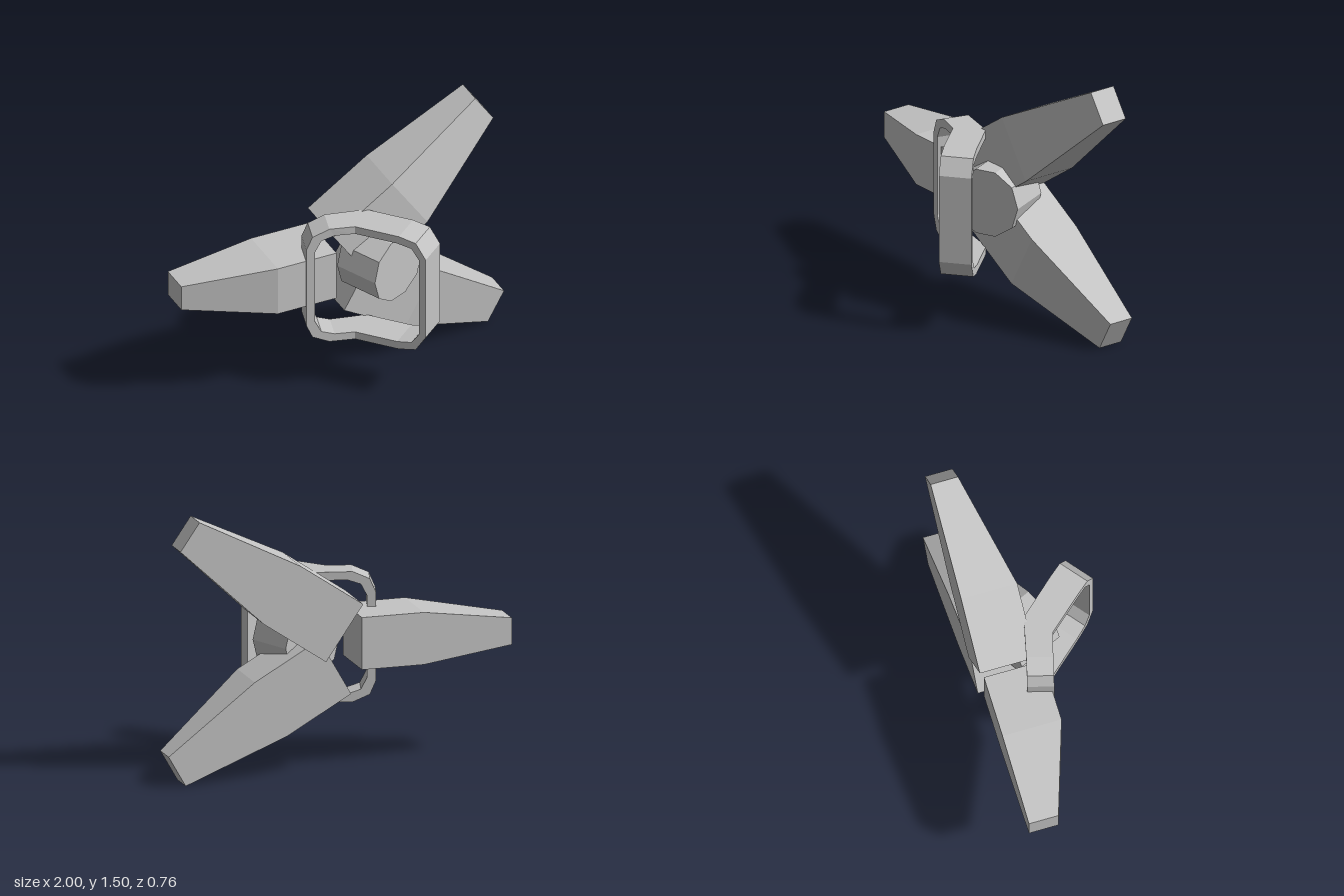
import * as THREE from 'three';

// Joins equal-sized cross-sections (ordered counter-clockwise around the direction of travel)
function loft(sections, closed) {
  const pos = [];
  const tri = (a, b, c) => pos.push(...a, ...b, ...c);
  const n = sections[0].length;
  const count = closed ? sections.length : sections.length - 1;
  for (let s = 0; s < count; s++) {
    const a = sections[s], b = sections[(s + 1) % sections.length];
    for (let i = 0; i < n; i++) {
      const j = (i + 1) % n;
      tri(a[i], a[j], b[j]);
      tri(a[i], b[j], b[i]);
    }
  }
  if (!closed) {
    const first = sections[0], last = sections[sections.length - 1];
    for (let i = 1; i < n - 1; i++) {
      tri(first[0], first[i + 1], first[i]);
      tri(last[0], last[i], last[i + 1]);
    }
  }
  const g = new THREE.BufferGeometry();
  g.setAttribute('position', new THREE.Float32BufferAttribute(pos, 3));
  g.computeVertexNormals();
  return g;
}

// Tapered arm: flat back, front face sloping down to the tip
function armGeometry({ root, mid, tip, width, tipWidth, back, front, tipFront }) {
  const axis = new THREE.Vector2(tip[0] - root[0], tip[1] - root[1]).normalize();
  const section = ([x, y], w, zf) => {
    const nx = -axis.y * w / 2, ny = axis.x * w / 2;
    return [[x - nx, y - ny, back], [x + nx, y + ny, back], [x + nx, y + ny, zf], [x - nx, y - ny, zf]];
  };
  return loft([section(root, width, front), section(mid, width, front), section(tip, tipWidth, tipFront)]);
}

// Ten-sided prism turned towards the front left
function coreGeometry() {
  const half = [[0, 0], [0.09, 0.12], [0.35, 0.19], [0.65, 0.19], [0.91, 0.12], [1, 0]];
  const outline = [
    ...half.map(([p, h]) => [p, -h]),
    ...half.slice(1, -1).reverse(),
  ];
  const face = (dx, dz) => outline.map(([p, h]) => [0.035 + 0.365 * p + dx, 0.712 + h, 0.125 - 0.165 * p + dz]);
  return loft([face(-0.11, -0.25), face(0, 0)]);
}

// Chamfered loop, bent about a vertical line
function frameGeometry() {
  const outer = [[-0.32, 0.25], [-0.285, 0.33], [-0.19, 0.372], [0, 0.372], [0.27, 0.372], [0.37, 0.352], [0.43, 0.257]];
  const inner = [[-0.27, 0.232], [-0.235, 0.30], [-0.16, 0.325], [0, 0.325], [0.26, 0.325], [0.345, 0.31], [0.39, 0.245]];
  const point = (u, h, side) => {
    const t = u < 0 ? -u / 0.32 : u / 0.43;
    const end = u < 0 ? [-0.30, -0.083] : [0.297, 0.317];
    const w = u < 0 ? [-0.02, 0.072] : u > 0 ? [-0.072, 0.058] : [-0.065, 0.065];
    return [
      0.01 + (end[0] - 0.01) * t + w[0] * side,
      0.703 + h,
      -0.005 + (end[1] + 0.005) * t + w[1] * side,
    ];
  };
  const station = (i, sign) => {
    const [ou, oh] = outer[i], [iu, ih] = inner[i];
    return [
      point(ou, sign * oh, -1), point(iu, sign * ih, -1),
      point(iu, sign * ih, 1), point(ou, sign * oh, 1),
    ];
  };
  const bottom = outer.map((_, i) => station(i, -1));
  const top = outer.map((_, i) => station(i, 1)).reverse();
  return loft([...bottom, ...top], true);
}

export function createModel() {
  const model = new THREE.Group();
  model.name = 'model';
  const grey = new THREE.MeshStandardMaterial({ color: 0xc4c4c4 });
  grey.name = 'light grey';
  grey.flatShading = true;

  const add = (name, geometry) => {
    const mesh = new THREE.Mesh(geometry, grey);
    mesh.name = name;
    model.add(mesh);
  };

  // Three arms spreading from the centre
  add('sideArm', armGeometry({
    root: [-0.13, 0.725], mid: [-0.49, 0.725], tip: [-1, 0.725],
    width: 0.298, tipWidth: 0.153, back: -0.36, front: -0.02, tipFront: -0.19,
  }));
  add('upperArm', armGeometry({
    root: [-0.022, 0.8], mid: [0.339, 1.045], tip: [0.876, 1.42],
    width: 0.38, tipWidth: 0.194, back: -0.383, front: -0.06, tipFront: -0.225,
  }));
  add('lowerArm', armGeometry({
    root: [0.03, 0.61], mid: [0.405, 0.397], tip: [0.948, 0.087],
    width: 0.372, tipWidth: 0.2, back: -0.375, front: -0.063, tipFront: -0.225,
  }));

  // Central block and the loop around it
  add('core', coreGeometry());
  add('frame', frameGeometry());
  return model;
}
